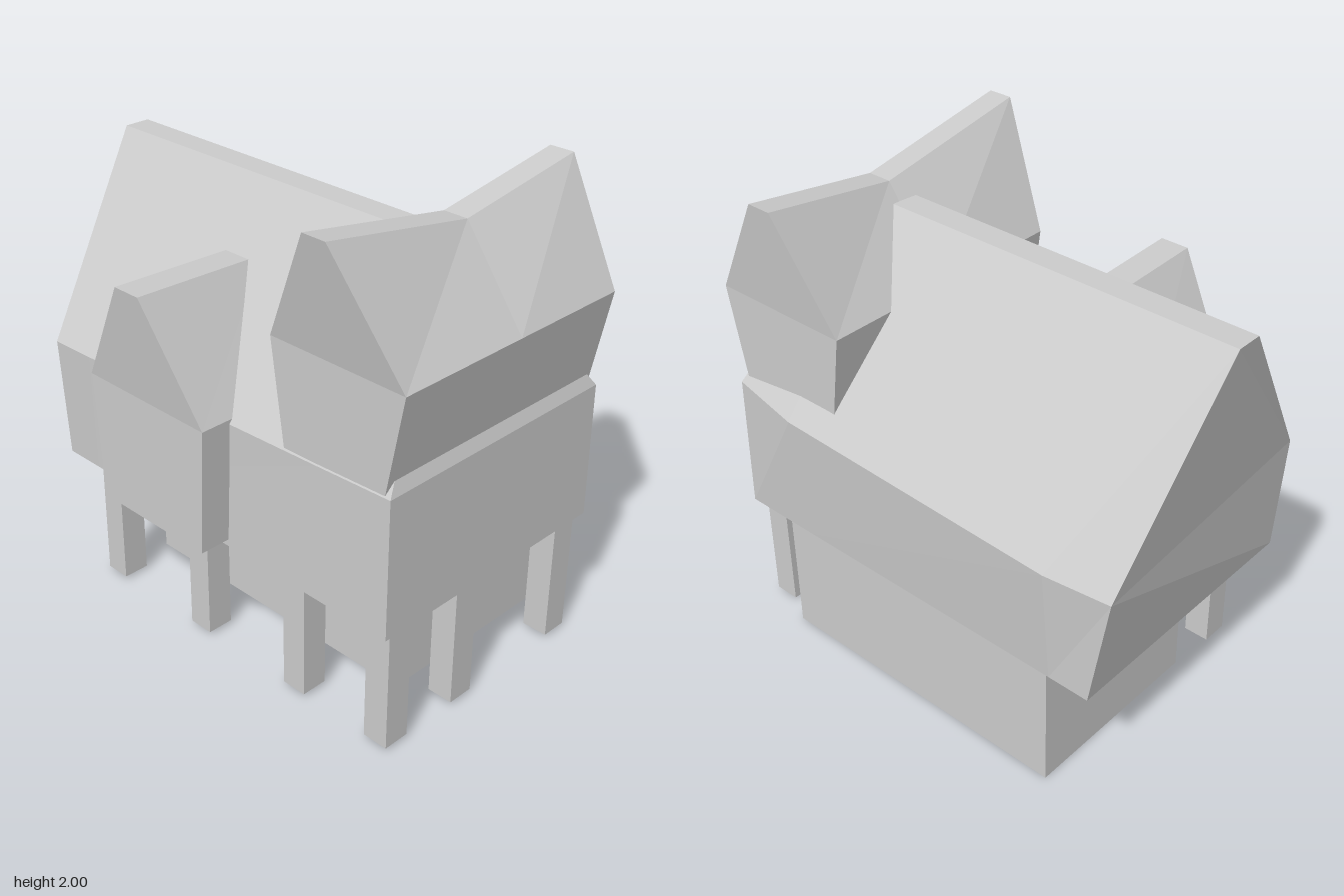
import * as THREE from 'three';

const material = new THREE.MeshStandardMaterial({
  color: 0xcccccc, flatShading: true, side: THREE.DoubleSide,
});

// Skin a list of equal-length point rings; house-shaped rings (6 points) may be capped.
function loft(name, rings, capped) {
  const pos = [];
  const quad = (a, b, c, d) => pos.push(...a, ...b, ...c, ...a, ...c, ...d);
  for (let k = 0; k + 1 < rings.length; k++) {
    const a = rings[k], b = rings[k + 1], n = a.length;
    for (let i = 0; i < n; i++) {
      const j = (i + 1) % n;
      quad(a[i], b[i], b[j], a[j]);
    }
  }
  if (capped) {
    const s = rings[0], e = rings[rings.length - 1];
    quad(s[0], s[1], s[4], s[5]);
    quad(s[1], s[2], s[3], s[4]);
    quad(e[5], e[4], e[1], e[0]);
    quad(e[4], e[3], e[2], e[1]);
  }
  const geometry = new THREE.BufferGeometry();
  geometry.setAttribute('position', new THREE.Float32BufferAttribute(pos, 3));
  geometry.computeVertexNormals();
  const mesh = new THREE.Mesh(geometry, material);
  mesh.name = name;
  return mesh;
}

// Four upright walls without top or bottom.
function walls(name, x0, x1, y0, y1, z0, z1) {
  const ring = (y) => [[x0, y, z1], [x1, y, z1], [x1, y, z0], [x0, y, z0]];
  return loft(name, [ring(y1), ring(y0)], false);
}

// Gable ring across x: floor, eaves and flat ridge, each [xLeft, xRight, y, z].
function gable(floor, eave, ridge) {
  const rows = [floor, eave, ridge];
  return [
    ...rows.map(([, x, y, z]) => [x, y, z]),
    ...rows.reverse().map(([x, , y, z]) => [x, y, z]),
  ];
}

export function createModel() {
  const group = new THREE.Group();

  // Overhanging upper storey with its roof, leaning out at one end and hipped at the other
  group.add(loft('upperStorey', [
    [[-0.84, 0.54, 0.5], [-0.87, 1.05, 0.51], [-1, 1.81, -0.01],
      [-1, 1.81, -0.12], [-0.93, 1.03, -0.66], [-0.84, 0.535, -0.66]],
    [[-0.66, 0.54, 0.5], [-0.66, 1.055, 0.51], [-0.66, 1.81, -0.01],
      [-0.66, 1.81, -0.12], [-0.66, 1.04, -0.7], [-0.66, 0.535, -0.66]],
    [[0.6, 0.53, 0.5], [0.6, 1.095, 0.5], [0.6, 1.81, -0.01],
      [0.6, 1.81, -0.12], [0.62, 1.09, -0.7], [0.6, 0.53, -0.66]],
    [[0.95, 0.53, 0.5], [0.95, 1.11, 0.5], [0.7, 1.81, -0.01],
      [0.7, 1.81, -0.12], [0.95, 1.11, -0.65], [0.95, 0.53, -0.66]],
  ], true));

  // Cross gable with a sagging ridge
  group.add(loft('crossGable', [
    gable([0.455, 0.9, 1, 0.495], [0.38, 1, 1.52, 0.5], [0.63, 0.735, 2, 0.6]),
    gable([0.455, 0.9, 1, -0.09], [0.38, 1, 1.52, -0.09], [0.63, 0.735, 1.88, -0.09]),
    gable([0.455, 0.9, 1, -0.63], [0.38, 1, 1.52, -0.63], [0.63, 0.735, 1.97, -0.68]),
  ], true));

  // Front bay with a steep gable
  group.add(loft('frontBay', [
    gable([-0.435, 0.14, 0.565, 0.635], [-0.475, 0.165, 1.1, 0.635], [-0.21, -0.085, 1.57, 0.7]),
    gable([-0.435, 0.14, 0.565, 0.1], [-0.475, 0.165, 1.1, 0.1], [-0.21, -0.085, 1.55, 0.1]),
  ], true));

  // Ground floor
  group.add(walls('groundFloor', -0.65, 0.72, 0, 0.535, -0.66, 0.17));

  // Posts along the front and down one side
  const posts = [[-0.62, 0.41], [-0.08, 0.41], [0.46, 0.41],
    [0.885, 0.41], [0.885, 0.045], [0.885, -0.545]];
  for (const [x, z] of posts) {
    group.add(walls('post', x - 0.055, x + 0.055, 0.015, 0.535, z - 0.057, z + 0.057));
  }
  return group;
}
